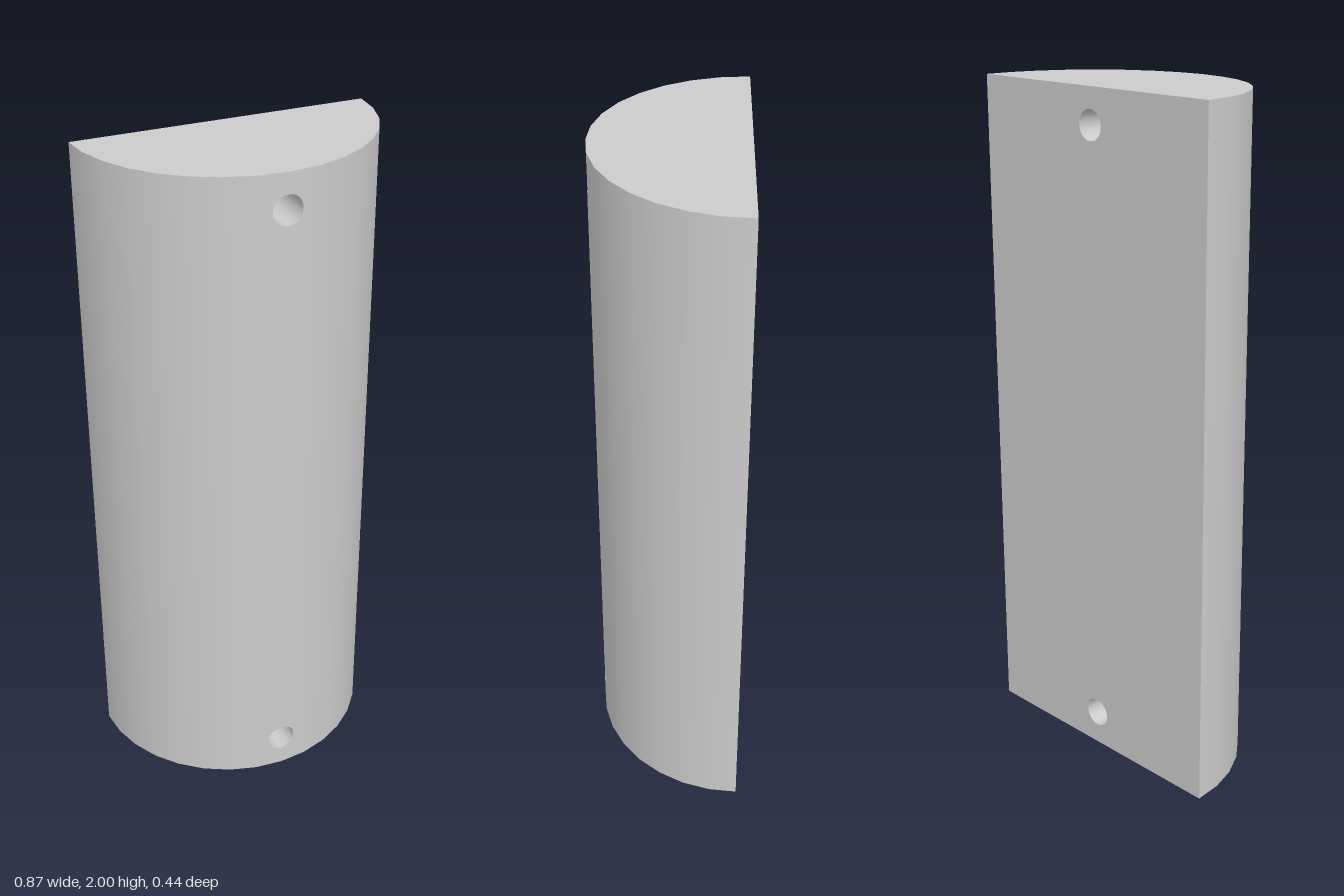
import * as THREE from 'three';
import { mergeGeometries } from 'three/addons/utils/BufferGeometryUtils.js';

const R = 0.435, H = 2, BACK = -R / 2, FACETS = 16;
const HOLE_R = 0.043, HOLE_SIDES = 24, HOLES = [0.103, 1.897];

// depth of the faceted front above x
const arcPoint = i => {
  const a = Math.PI * (1 - i / FACETS);
  return [R * Math.cos(a), BACK + R * Math.sin(a)];
};
function frontZ(x) {
  const [x1, z1] = arcPoint(FACETS / 2 + 1);
  const zMid = BACK + R;
  return zMid + (z1 - zMid) * Math.abs(x) / x1;
}

// one flat strip of the curved front; the two middle strips have half-round bites
function facet(i) {
  const [xa, za] = arcPoint(i), [xb, zb] = arcPoint(i + 1);
  const pts = [];
  const add = (x, y) => pts.push(new THREE.Vector2(x, y));
  const middle = i === FACETS / 2 - 1 || i === FACETS / 2;
  if (middle) {
    const side = i === FACETS / 2 ? 1 : -1;
    const outer = side > 0 ? xb : xa;
    add(0, 0); add(outer, 0); add(outer, H); add(0, H);
    for (const y of [...HOLES].reverse()) {
      for (let k = 0; k <= HOLE_SIDES / 2; k++) {
        const t = k * 2 * Math.PI / HOLE_SIDES;
        add(side * HOLE_R * Math.sin(t), y + HOLE_R * Math.cos(t));
      }
    }
  } else {
    add(xa, 0); add(xb, 0); add(xb, H); add(xa, H);
  }
  const geo = new THREE.ShapeGeometry(new THREE.Shape(pts));
  const pos = geo.attributes.position, nor = geo.attributes.normal;
  const n = new THREE.Vector3();
  for (let v = 0; v < pos.count; v++) {
    const x = pos.getX(v);
    const z = za + (zb - za) * (x - xa) / (xb - xa);
    pos.setZ(v, z);
    n.set(x, 0, z - BACK).normalize();
    nor.setXYZ(v, n.x, n.y, n.z);
  }
  return geo;
}

export function createModel() {
  const group = new THREE.Group();
  group.name = 'halfRoundBlock';
  const grey = new THREE.MeshStandardMaterial({ color: 0xcccccc });
  const inside = new THREE.MeshStandardMaterial({ color: 0xcccccc, side: THREE.DoubleSide });
  const add = (name, geo, mat = grey) => {
    const mesh = new THREE.Mesh(geo, mat);
    mesh.name = name;
    group.add(mesh);
    return mesh;
  };

  // curved front
  add('curvedFront', mergeGeometries(Array.from({ length: FACETS }, (_, i) => facet(i))));

  // flat back with two holes
  const plate = new THREE.Shape([[-R, 0], [R, 0], [R, H], [-R, H]].map(p => new THREE.Vector2(...p)));
  for (const y of HOLES) {
    const ring = Array.from({ length: HOLE_SIDES }, (_, k) => {
      const t = k * 2 * Math.PI / HOLE_SIDES;
      return new THREE.Vector2(HOLE_R * Math.sin(t), y + HOLE_R * Math.cos(t));
    });
    plate.holes.push(new THREE.Path(ring));
  }
  add('flatBack', new THREE.ShapeGeometry(plate).rotateY(Math.PI).translate(0, 0, BACK));

  // half-disc ends
  add('topEnd', new THREE.CircleGeometry(R, FACETS, Math.PI, Math.PI)
    .rotateX(-Math.PI / 2).translate(0, H, BACK));
  add('bottomEnd', new THREE.CircleGeometry(R, FACETS, 0, Math.PI)
    .rotateX(Math.PI / 2).translate(0, 0, BACK));

  // bores through the block, trimmed to the front facets
  HOLES.forEach((y, i) => {
    const geo = new THREE.CylinderGeometry(HOLE_R, HOLE_R, 1, HOLE_SIDES, 1, true).rotateX(Math.PI / 2);
    const pos = geo.attributes.position;
    for (let v = 0; v < pos.count; v++) {
      pos.setZ(v, pos.getZ(v) > 0 ? frontZ(pos.getX(v)) : BACK);
    }
    add(i ? 'upperBore' : 'lowerBore', geo, inside).position.y = y;
  });
  return group;
}
